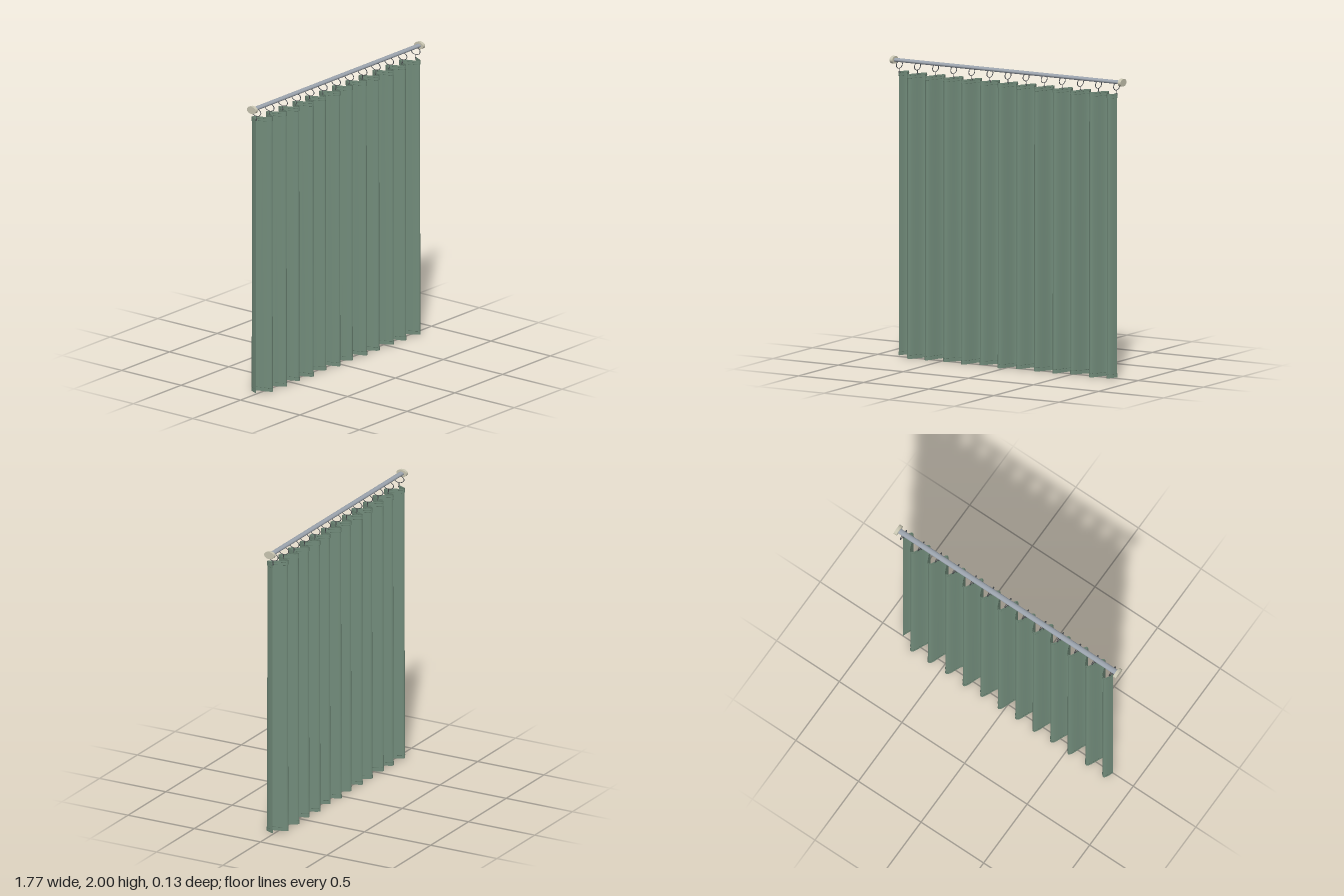
import * as THREE from 'three';

const HALF = 0.838, FOLDS = 12, TOP = 1.9, SQUASH = 0.66;

// Depth of the pleated cloth at x; t runs from 0 (bottom) to 1 (top)
function foldDepth(x, t) {
  const amp = 0.058 + 0.004 * Math.cos(x * 23 + 0.3) - 0.003 * t;
  return -amp * Math.sin(((x + HALF) / (2 * HALF)) * FOLDS * Math.PI * 2);
}

// Gently wavy lower edge
const bottomEdge = (x) => 0.008 - 0.004 * Math.cos(x * 18.5);

// Point on the cloth, pushed out along its horizontal normal
function clothPoint(x, t, offset = 0) {
  const e = 0.001;
  const slope = (foldDepth(x + e, t) - foldDepth(x - e, t)) / (2 * e);
  const len = Math.hypot(slope, 1);
  return new THREE.Vector3(
    x - (slope / len) * offset,
    THREE.MathUtils.lerp(bottomEdge(x), TOP, t),
    foldDepth(x, t) + offset / len
  );
}

// Pleated strip between two heights
function clothStrip(t0, t1, rows, offset) {
  const g = new THREE.PlaneGeometry(1, 1, FOLDS * 20, rows);
  const p = g.attributes.position;
  for (let i = 0; i < p.count; i++) {
    const x = p.getX(i) * 2 * HALF;
    const t = THREE.MathUtils.lerp(t0, t1, p.getY(i) + 0.5);
    const v = clothPoint(x, t, offset);
    p.setXYZ(i, v.x, v.y, v.z);
  }
  g.computeVertexNormals();
  return g;
}

// Stitch line that follows the folds
function seam(t, offset) {
  const pts = [];
  for (let i = 0; i <= FOLDS * 16; i++) {
    pts.push(clothPoint(-HALF + (2 * HALF * i) / (FOLDS * 16), t, offset));
  }
  return new THREE.TubeGeometry(new THREE.CatmullRomCurve3(pts), FOLDS * 20, 0.001, 4);
}

export function createModel() {
  const root = new THREE.Group();
  const cloth = new THREE.MeshStandardMaterial({ color: 0x718b7a, side: THREE.DoubleSide });
  const thread = new THREE.MeshStandardMaterial({ color: 0x5d7565 });
  const steel = new THREE.MeshStandardMaterial({ color: 0x9aa2ac });
  const cream = new THREE.MeshStandardMaterial({ color: 0xc9c6b2 });
  const wire = new THREE.MeshStandardMaterial({ color: 0x4a4d50 });

  const add = (parent, name, geometry, material) => {
    const mesh = new THREE.Mesh(geometry, material);
    mesh.name = name;
    parent.add(mesh);
    return mesh;
  };

  // Pleated cloth with a doubled hem at the top and bottom
  const curtain = new THREE.Group();
  curtain.name = 'curtain';
  root.add(curtain);
  add(curtain, 'curtainPanel', clothStrip(0, 1, 12, 0), cloth);
  for (const side of [-1, 1]) {
    add(curtain, 'topHem', clothStrip(0.985, 1, 1, side * 0.002), cloth);
    add(curtain, 'bottomHem', clothStrip(0, 0.013, 1, side * 0.002), cloth);
    for (const t of [0.013, 0.985, 0.994]) add(curtain, 'seam', seam(t, side * 0.002), thread);
  }

  // Oval rod lying along x
  const rodGroup = new THREE.Group();
  rodGroup.name = 'curtainRod';
  rodGroup.position.y = 1.975;
  rodGroup.scale.y = SQUASH;
  root.add(rodGroup);
  add(rodGroup, 'rod', new THREE.CylinderGeometry(0.019, 0.019, 1.75, 24).rotateZ(Math.PI / 2), steel);

  // End caps
  for (const side of [-1, 1]) {
    const cap = add(rodGroup, 'endCap', new THREE.CylinderGeometry(0.038, 0.038, 0.022, 24).rotateZ(Math.PI / 2), cream);
    cap.position.x = side * 0.876;
  }

  // Hanging rings, each with a short hook and an eyelet in the cloth
  for (let i = 0; i <= FOLDS; i++) {
    const hanger = new THREE.Group();
    hanger.name = 'hanger';
    hanger.position.x = -0.834 + (1.668 * i) / FOLDS;
    root.add(hanger);
    const ring = add(hanger, 'ring', new THREE.TorusGeometry(0.038, 0.0028, 8, 32).rotateY(Math.PI / 2), wire);
    ring.position.y = 1.947;
    ring.scale.y = SQUASH;
    const hook = add(hanger, 'hook', new THREE.CylinderGeometry(0.002, 0.002, 0.026, 8), wire);
    hook.position.y = 1.91;
    const eyelet = add(hanger, 'eyelet', new THREE.TorusGeometry(0.006, 0.002, 8, 16), wire);
    eyelet.position.y = 1.896;
  }
  return root;
}
